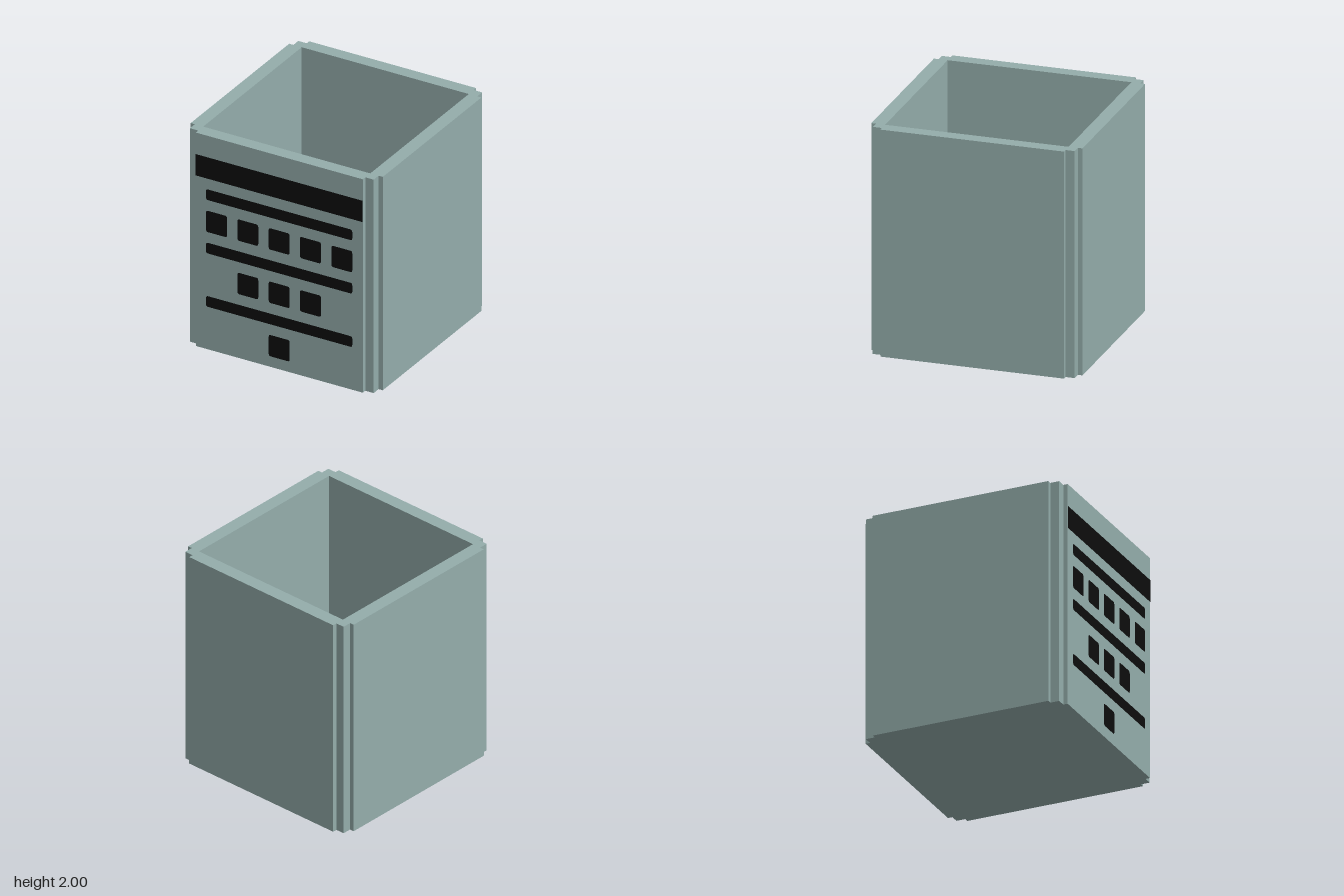
import * as THREE from 'three';

const HEIGHT = 2, OUTER = 0.92, CORNER = 0.88, INNER = 0.8, FLOOR = 0.12;

// Flat rectangle with small rounded corners
function plateShape(w, h, r) {
  const x = w / 2, y = h / 2, s = new THREE.Shape();
  s.moveTo(-x + r, -y);
  s.lineTo(x - r, -y);
  s.quadraticCurveTo(x, -y, x, -y + r);
  s.lineTo(x, y - r);
  s.quadraticCurveTo(x, y, x - r, y);
  s.lineTo(-x + r, y);
  s.quadraticCurveTo(-x, y, -x, y - r);
  s.lineTo(-x, -y + r);
  s.quadraticCurveTo(-x, -y, -x + r, -y);
  return s;
}

export function createModel() {
  const group = new THREE.Group();
  const shell = new THREE.MeshStandardMaterial({ color: 0x94adab });
  shell.name = 'greyGreen';
  const ink = new THREE.MeshStandardMaterial({ color: 0x0d0d0d });
  ink.name = 'black';

  const add = (name, geometry, material, x = 0, y = 0, z = 0) => {
    const mesh = new THREE.Mesh(geometry, material);
    mesh.name = name;
    mesh.position.set(x, y, z);
    group.add(mesh);
  };

  // Walls: square tube with stepped corners, one quarter turned four times
  const outline = [];
  for (let i = 0; i < 4; i++) {
    for (const [x, y] of [[OUTER, -INNER], [OUTER, INNER], [CORNER, INNER], [CORNER, CORNER], [INNER, CORNER]]) {
      outline.push(new THREE.Vector2(x, y).rotateAround(new THREE.Vector2(), i * Math.PI / 2));
    }
  }
  const plan = new THREE.Shape(outline);
  plan.holes.push(new THREE.Path([[-1, -1], [-1, 1], [1, 1], [1, -1]]
    .map(([x, y]) => new THREE.Vector2(x * INNER, y * INNER))));
  const walls = new THREE.ExtrudeGeometry(plan, { depth: HEIGHT, bevelEnabled: false });
  walls.rotateX(-Math.PI / 2);
  add('walls', walls, shell);

  // Floor closing the bottom
  add('floor', new THREE.BoxGeometry(INNER * 2, FLOOR, INNER * 2), shell, 0, FLOOR / 2, 0);

  // Painted front details
  const paint = (name, x, y, w, h, r = 0.02) =>
    add(name, new THREE.ShapeGeometry(plateShape(w, h, r), 4), ink, x, y, OUTER + 0.003);

  add('topBand', new THREE.PlaneGeometry(1.6, 0.2), ink, 0, 1.7, OUTER + 0.003);
  for (const y of [1.45, 0.95, 0.45]) paint('stripe', 0, y, 1.4, 0.1);
  for (const [count, y] of [[5, 1.2], [3, 0.7], [1, 0.2]]) {
    for (let i = 0; i < count; i++) paint('square', (i - (count - 1) / 2) * 0.3, y, 0.2, 0.2);
  }
  return group;
}
